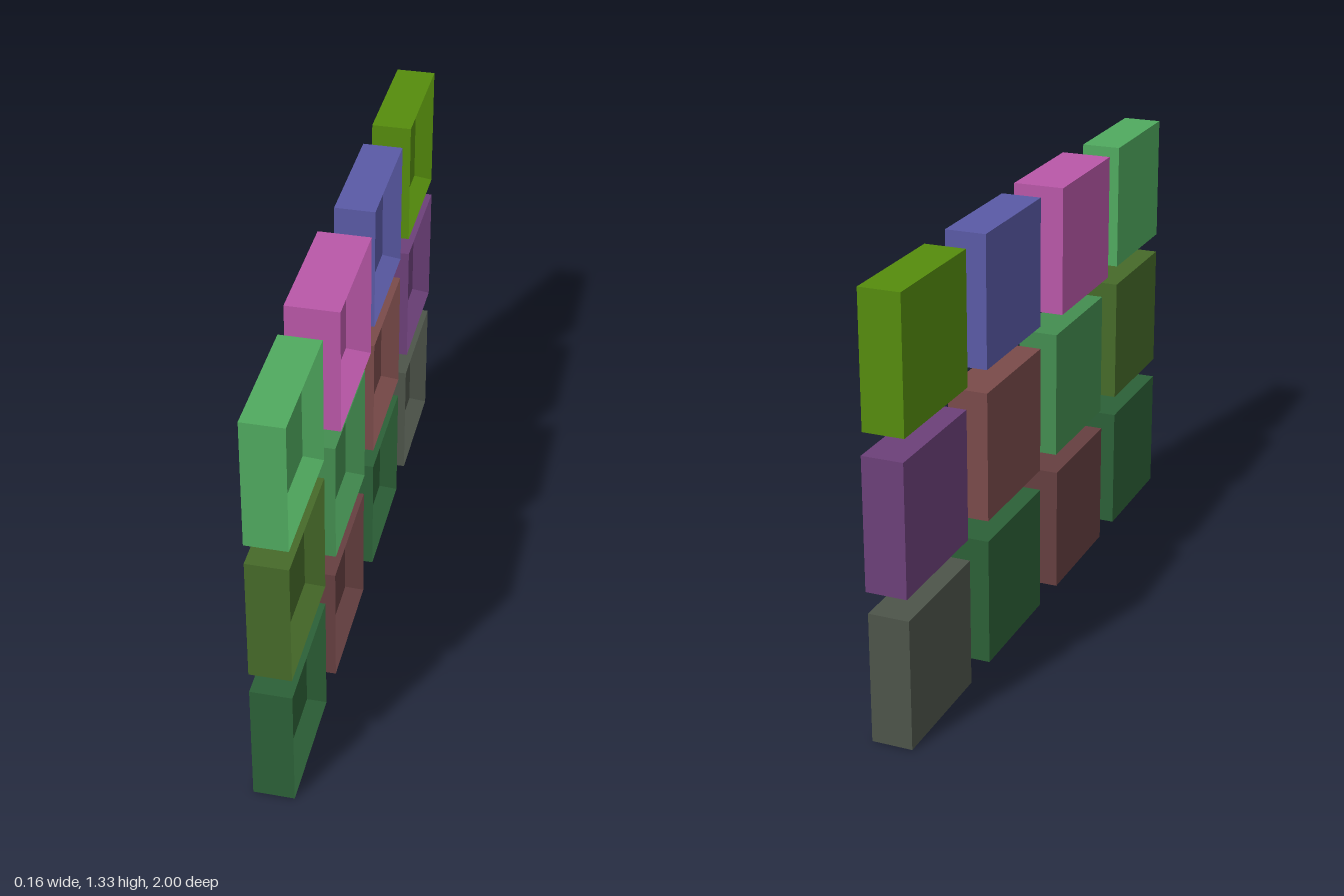
import * as THREE from 'three';

const SIZE = 0.398;   // side of every square tray
const INSET = 0.021;  // how far the recessed floor sits in from the rim
const THICK = 0.123;

// [name, colour, centre z, centre y, thickness]
const TRAYS = [
  ['topTray1', 0x50aa5f, 0.801, 1.124, THICK],
  ['topTray2', 0xb957a8, 0.27, 1.128, 0.158],
  ['topTray3', 0x5a5aa6, -0.261, 1.132, THICK],
  ['topTray4', 0x558c0d, -0.791, 1.128, THICK],
  ['middleTray1', 0x466a29, 0.801, 0.663, THICK],
  ['middleTray2', 0x438d50, 0.267, 0.663, THICK],
  ['middleTray3', 0x7a4b4a, -0.261, 0.663, THICK],
  ['middleTray4', 0x6c4079, -0.801, 0.667, THICK],
  ['bottomTray1', 0x2c6037, 0.801, 0.199, THICK],
  ['bottomTray2', 0x653f40, 0.277, 0.199, THICK],
  ['bottomTray3', 0x2c6037, -0.261, 0.199, THICK],
  ['bottomTray4', 0x4d544a, -0.791, 0.199, THICK],
];

// Square block whose +x face is sunk into a recess with sloping walls,
// made from three square rings: back edge, sharp rim, recessed floor
function trayGeometry(thickness) {
  const ring = (x, h) => [[x, -h, h], [x, -h, -h], [x, h, -h], [x, h, h]];
  const h = SIZE / 2;
  const rings = [
    ring(-thickness / 2, h),
    ring(thickness / 2, h),
    ring(thickness * 0.05, h - INSET),
  ];
  const points = [];
  const quad = (a, b, c, d) => points.push(...a, ...b, ...c, ...a, ...c, ...d);

  // outer walls, then recess walls
  for (let r = 0; r < 2; r++) {
    for (let i = 0; i < 4; i++) {
      const j = (i + 1) % 4;
      quad(rings[r][i], rings[r][j], rings[r + 1][j], rings[r + 1][i]);
    }
  }
  quad(...rings[2]);                  // recessed floor
  quad(...[...rings[0]].reverse());   // flat back

  const geometry = new THREE.BufferGeometry();
  geometry.setAttribute('position', new THREE.Float32BufferAttribute(points, 3));
  geometry.computeVertexNormals();
  return geometry;
}

export function createModel() {
  const model = new THREE.Group();
  model.name = 'trayWall';
  for (const [name, color, z, y, thickness] of TRAYS) {
    const material = new THREE.MeshStandardMaterial({ color });
    const tray = new THREE.Mesh(trayGeometry(thickness), material);
    tray.name = name;
    tray.position.set(0, y, z);
    model.add(tray);
  }
  return model;
}
